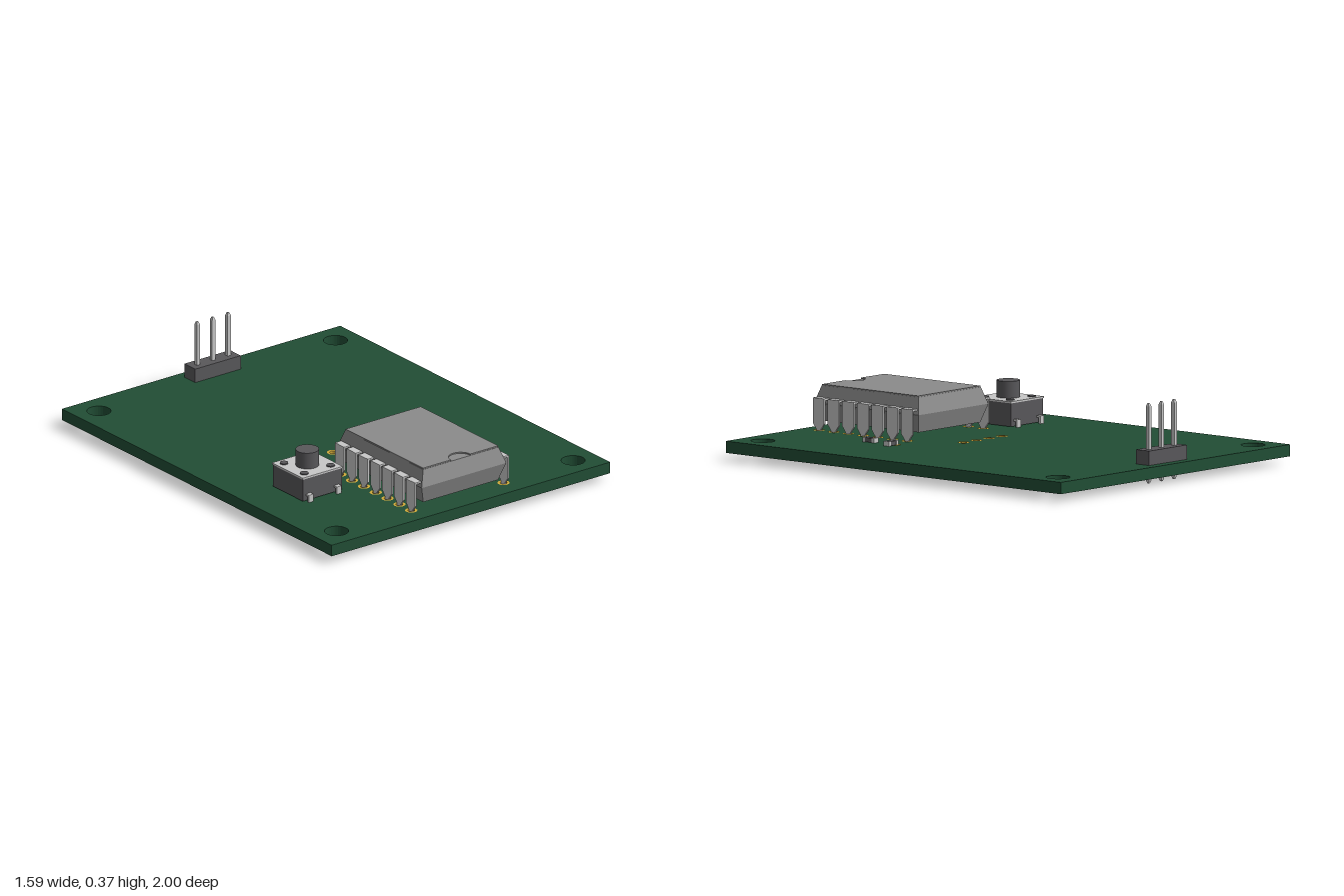
import * as THREE from 'three';

const mat = (name, color, side = THREE.FrontSide) => {
  const m = new THREE.MeshStandardMaterial({ color, side });
  m.name = name;
  return m;
};

export function createModel() {
  const green = mat('boardGreen', 0x214e35);
  const chipGrey = mat('chipGrey', 0x8b8b8b);
  const dark = mat('darkPlastic', 0x59585b);
  const silver = mat('silver', 0xc8c8c8);
  const gold = mat('gold', 0xd0a93a, THREE.DoubleSide);

  const root = new THREE.Group();
  root.name = 'circuitBoard';
  const BOTTOM = 0.035, TOP = 0.089;

  const group = (name, x = 0, z = 0) => {
    const g = new THREE.Group();
    g.name = name;
    g.position.set(x, 0, z);
    root.add(g);
    return g;
  };
  const add = (parent, name, geo, material, x = 0, y = 0, z = 0) => {
    const m = new THREE.Mesh(geo, material);
    m.name = name;
    m.position.set(x, y, z);
    parent.add(m);
    return m;
  };
  // box resting on height y0
  const box = (parent, name, w, y0, y1, d, material, x = 0, z = 0) =>
    add(parent, name, new THREE.BoxGeometry(w, y1 - y0, d), material, x, (y0 + y1) / 2, z);
  // box whose top and bottom rectangles have different half sizes
  const frustum = (y0, hx0, hz0, y1, hx1, hz1) => {
    const g = new THREE.BoxGeometry(2, 2, 2).toNonIndexed();
    const p = g.attributes.position;
    for (let i = 0; i < p.count; i++) {
      const up = p.getY(i) > 0;
      p.setXYZ(i, p.getX(i) * (up ? hx1 : hx0), up ? y1 : y0, p.getZ(i) * (up ? hz1 : hz0));
    }
    g.computeVertexNormals();
    return g;
  };
  const polygon = (pts) => new THREE.Shape(pts.map(([x, y]) => new THREE.Vector2(x, y)));
  // plan outline (x, -z) raised upward
  const slab = (shape, depth) =>
    new THREE.ExtrudeGeometry(shape, { depth, bevelEnabled: false, curveSegments: 16 }).rotateX(-Math.PI / 2);

  // drilled positions
  const legZ = Array.from({ length: 7 }, (_, i) => 0.637 + (i - 3) * 0.0877);
  const pinX = [-0.088, 0, 0.088];
  const HEADER_Z = -0.915, LEG_X = 0.263, HOLE = 0.018;
  const plated = [];
  for (const s of [-1, 1]) for (const z of legZ) plated.push([s * LEG_X, z]);
  for (const x of pinX) plated.push([x, HEADER_Z]);
  for (let i = 0; i < 4; i++) plated.push([(i - 1.5) * 0.088, 0.15]);

  // board with mounting holes and drilled holes
  const outline = polygon([[-0.793, -1], [0.793, -1], [0.793, 1], [-0.793, 1]]);
  const drill = (x, z, r) => outline.holes.push(new THREE.Path().absarc(x, -z, r, 0, Math.PI * 2, true));
  for (const x of [-0.674, 0.674]) for (const z of [-0.881, 0.881]) drill(x, z, 0.055);
  for (const [x, z] of plated) drill(x, z, HOLE);
  add(root, 'board', slab(outline, TOP - BOTTOM), green, 0, BOTTOM, 0);

  // plated rings lining each drilled hole
  const ringProfile = [[0.028, BOTTOM - 0.002], [0.016, BOTTOM - 0.002], [0.016, TOP + 0.002], [0.028, TOP + 0.002]];
  const ringGeo = new THREE.LatheGeometry(ringProfile.map(([r, y]) => new THREE.Vector2(r, y)), 16)
    .toNonIndexed();
  ringGeo.computeVertexNormals();
  const pads = group('solderPads');
  for (const [x, z] of plated) add(pads, 'platedHole', ringGeo, gold, x, 0, z);

  // chip: two tapered halves and a notched top skin
  const chip = group('chip', 0, 0.637);
  add(chip, 'chipLowerBody', frustum(0.126, 0.213, 0.287, 0.21, 0.241, 0.312), chipGrey);
  add(chip, 'chipUpperBody', frustum(0.21, 0.241, 0.312, 0.287, 0.215, 0.289), chipGrey);
  const skin = new THREE.Shape();
  skin.moveTo(-0.214, -0.287);
  skin.lineTo(-0.055, -0.287);
  skin.absarc(0, -0.287, 0.055, Math.PI, 0, true);
  skin.lineTo(0.214, -0.287);
  skin.lineTo(0.214, 0.287);
  skin.lineTo(-0.214, 0.287);
  add(chip, 'chipNotchedTop', slab(skin, 0.006), chipGrey, 0, 0.287, 0);

  // chip legs: wide shoulder tapering to a narrow pin
  const legGeo = new THREE.ExtrudeGeometry(
    polygon([[-0.012, 0.012], [0.012, 0.012], [0.012, 0.093], [0.034, 0.122], [0.034, 0.236],
      [-0.034, 0.236], [-0.034, 0.122], [-0.012, 0.093]]),
    { depth: 0.009, bevelEnabled: false }).translate(0, 0, -0.0045).rotateY(Math.PI / 2);
  const legs = group('chipLegs');
  for (const s of [-1, 1]) for (const z of legZ) {
    add(legs, 'chipLeg', legGeo, silver, s * LEG_X, 0, z);
    box(legs, 'chipLegShoulder', 0.04, 0.228, 0.2365, 0.068, silver, s * 0.247, z);
  }

  // pin header
  const header = group('pinHeader', 0, HEADER_Z);
  box(header, 'headerBase', 0.26, TOP, 0.155, 0.08, dark);
  for (const x of pinX) {
    box(header, 'headerPin', 0.018, 0.014, 0.351, 0.018, silver, x);
    add(header, 'pinTip', frustum(0.351, 0.009, 0.009, 0.365, 0.004, 0.004), silver, x);
    add(header, 'pinEnd', frustum(0, 0.004, 0.004, 0.014, 0.009, 0.009), silver, x);
  }

  // push button
  const button = group('pushButton', -0.48, 0.412);
  box(button, 'buttonBase', 0.222, 0.093, 0.2, 0.222, dark);
  box(button, 'buttonCover', 0.228, 0.2, 0.208, 0.228, silver);
  add(button, 'buttonPlunger', new THREE.CylinderGeometry(0.053, 0.053, 0.08, 32), dark, 0, 0.245, 0);
  const rivet = new THREE.CylinderGeometry(0.019, 0.019, 0.008, 16);
  for (const sx of [-1, 1]) for (const sz of [-1, 1]) {
    add(button, 'buttonRivet', rivet, dark, sx * 0.075, 0.209, sz * 0.075);
    box(button, 'buttonLeg', 0.026, 0.04, 0.125, 0.01, silver, sx * 0.08, sz * 0.128);
    box(button, 'buttonLegShoulder', 0.026, 0.116, 0.125, 0.03, silver, sx * 0.08, sz * 0.115);
  }

  // small surface parts with metal end caps
  const surfacePart = (name, x, z, turn) => {
    const g = group(name, x, z);
    g.rotation.y = turn;
    box(g, 'partBody', 0.04, TOP + 0.002, 0.111, 0.03, dark);
    for (const s of [-1, 1]) {
      box(g, 'partEndCap', 0.015, TOP + 0.001, 0.112, 0.032, silver, s * 0.026);
    }
    return g;
  };
  const resistor = surfacePart('smallResistor', 0.413, 0.342, 0);
  box(resistor, 'landingPad', 0.032, TOP, TOP + 0.003, 0.036, gold, -0.03);
  surfacePart('smallCapacitor', 0.397, 0.478, Math.PI / 2);

  return root;
}
